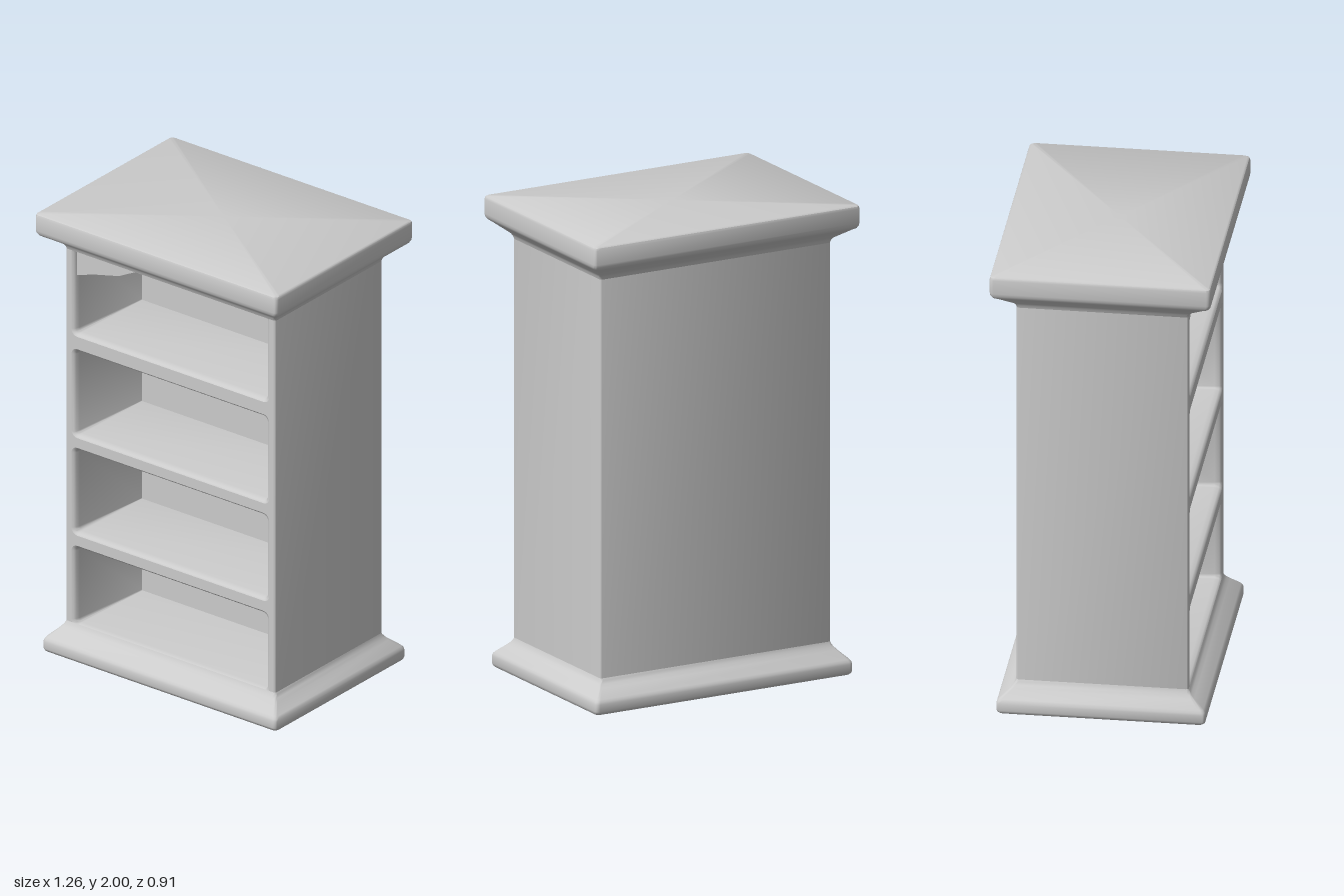
import * as THREE from 'three';
import { toCreasedNormals } from 'three/addons/utils/BufferGeometryUtils.js';

const BODY_X = 0.545, BODY_Z = 0.355, CORNER = 0.012, NICHE_BACK = -0.055;
const material = new THREE.MeshStandardMaterial({ color: 0xcccccc });

// Rounded rectangle as 2D points; the run starts after the +v edge.
function roundRect(hu, hv, r, cv = 0, n = 4) {
  const pts = [];
  for (const k of [1, 2, 3, 0]) {
    const su = k === 0 || k === 3 ? 1 : -1, sv = k < 2 ? 1 : -1;
    for (let i = 0; i <= n; i++) {
      const a = (k + i / n) * Math.PI / 2;
      pts.push(new THREE.Vector2(su * (hu - r) + r * Math.cos(a), cv + sv * (hv - r) + r * Math.sin(a)));
    }
  }
  return pts;
}

// Skin a stack of equal-length sections.
function loft(sections, closed = true) {
  const n = sections[0].length, index = [];
  for (let i = 0; i + 1 < sections.length; i++) {
    for (let j = 0; j < (closed ? n : n - 1); j++) {
      const k = (j + 1) % n;
      const a = i * n + j, b = i * n + k, c = a + n, d = b + n;
      index.push(a, c, b, b, c, d);
    }
  }
  const g = new THREE.BufferGeometry().setFromPoints(sections.flat());
  g.setIndex(index);
  return toCreasedNormals(g, 0.7);
}

function add(group, name, geometry) {
  const mesh = new THREE.Mesh(geometry, material);
  mesh.name = name;
  group.add(mesh);
  return mesh;
}

// Horizontal section around the case
const level = (hx, hz, y, r = CORNER) =>
  roundRect(hx, hz, r).map(p => new THREE.Vector3(p.x, y, p.y));

// Moulding profile rows are [overhang, height].
const mouldingRing = ([o, y]) => level(BODY_X + 0.83 * o, BODY_Z + o, y, CORNER + (o > 0.05 ? 0.006 : 0));

// Compartment section: y0 floor, y1 ceiling
function nicheOutline(hw, y0, y1, r) {
  return roundRect(hw, (y1 - y0) / 2, r, (y0 + y1) / 2);
}

export function createModel() {
  const group = new THREE.Group();
  group.name = 'bookcase';

  // Side and back panels
  add(group, 'casePanels', loft([level(BODY_X, BODY_Z, 0.05), level(BODY_X, BODY_Z, 1.92)], false));

  // Plinth with flared moulding
  const base = [[0.066, 0], [0.073, 0.006], [0.076, 0.015], [0.076, 0.045], [0.073, 0.055], [0.066, 0.064],
    [0.025, 0.098], [0.012, 0.111], [0.004, 0.122], [0, 0.132]];
  add(group, 'plinth', loft([level(0, 0, 0, 0), ...base.map(mouldingRing)]));

  // Cornice with flared underside
  const top = [[0, 1.828], [0.004, 1.84], [0.012, 1.851], [0.078, 1.894], [0.092, 1.902], [0.099, 1.913],
    [0.101, 1.925], [0.101, 1.985], [0.098, 1.995], [0.09, 2]];
  add(group, 'cornice', loft([...top.map(mouldingRing), level(0, 0, 2, 0)]));

  // Front frame with four openings, each lined by a tapering compartment
  const w = BODY_X - CORNER;
  const frame = new THREE.Shape([[-w, 0.05], [w, 0.05], [w, 1.92], [-w, 1.92]].map(p => new THREE.Vector2(...p)));
  for (const [y0, y1] of [[0.13, 0.478], [0.548, 0.925], [0.993, 1.375], [1.455, 1.838]]) {
    const rows = [
      [nicheOutline(0.47, y0, y1 - 0.016, 0.004), NICHE_BACK],
      [nicheOutline(0.494, y0, y1 - 0.004, 0.016), 0.325],
      [nicheOutline(0.498, y0 - 0.003, y1, 0.02), 0.343],
      [nicheOutline(0.504, y0 - 0.007, y1 + 0.004, 0.024), 0.351],
      [nicheOutline(0.514, y0 - 0.014, y1 + 0.01, 0.03), BODY_Z],
    ];
    const sections = rows.map(([pts, z]) => pts.map(p => new THREE.Vector3(p.x, p.y, z)));
    const centre = new THREE.Vector3(0, (y0 + y1) / 2, NICHE_BACK);
    add(group, 'compartment', loft([sections[0].map(() => centre), ...sections]));
    frame.holes.push(new THREE.Path(rows[4][0]));
  }
  add(group, 'frontFrame', new THREE.ShapeGeometry(frame)).position.z = BODY_Z;

  // Corner brackets under the cornice
  for (const s of [-1, 1]) {
    const pts = [[0.51, 1.71], [0.4, 1.745], [0.28, 1.775], [0.15, 1.842], [0.51, 1.842]];
    const shape = new THREE.Shape(pts.map(([x, y]) => new THREE.Vector2(s * x, y)));
    const bracket = new THREE.ExtrudeGeometry(shape, { depth: 0.035, bevelEnabled: false });
    add(group, s > 0 ? 'leftBracket' : 'rightBracket', bracket).position.z = 0.305;
  }
  return group;
}
